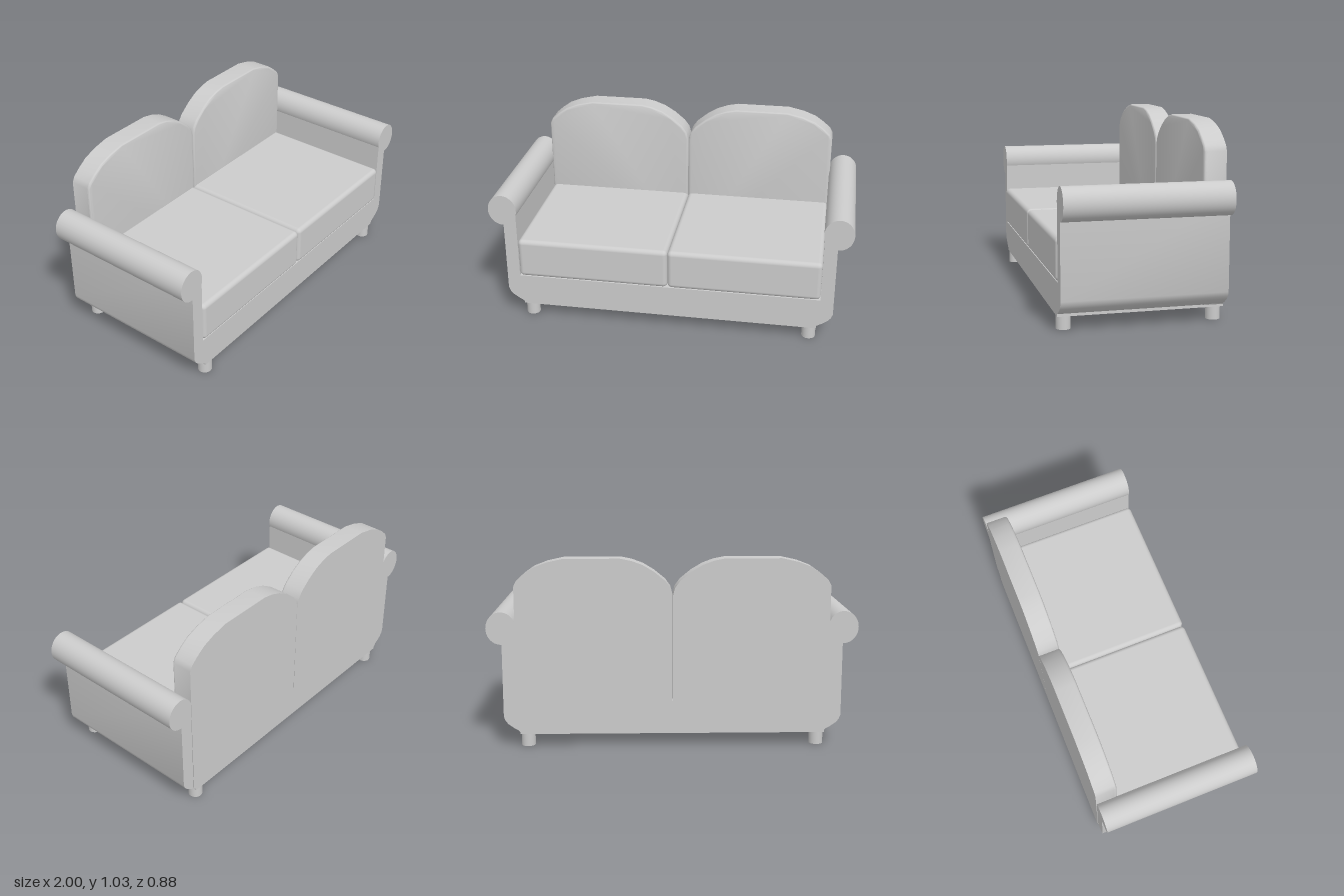
import * as THREE from 'three';
import { toCreasedNormals } from 'three/addons/utils/BufferGeometryUtils.js';
import { RoundedBoxGeometry } from 'three/addons/geometries/RoundedBoxGeometry.js';

const material = new THREE.MeshStandardMaterial({ color: 0xcccccc });
const BACK = -0.44, FRONT = 0.435;

function add(parent, name, geometry, x = 0, y = 0, z = 0) {
  const mesh = new THREE.Mesh(geometry, material);
  mesh.name = name;
  mesh.position.set(x, y, z);
  parent.add(mesh);
  return mesh;
}

const shapeOf = (points, side) =>
  new THREE.Shape(points.map(([x, y]) => new THREE.Vector2(x * side, y)));

const extrude = (shape, options) =>
  toCreasedNormals(new THREE.ExtrudeGeometry(shape, options), 0.7);

// Arm panel cross-section, curving in at the foot
const armProfile = [
  [0.8, 0.085], [0.83, 0.085], [0.86, 0.102], [0.89, 0.123], [0.908, 0.143],
  [0.917, 0.168], [0.917, 0.65], [0.845, 0.65], [0.845, 0.25], [0.8, 0.25],
];

// Arched back cushion outline
const backProfile = [
  [0.012, 0.07], [0.82, 0.07], [0.845, 0.1], [0.845, 0.88], [0.83, 0.91],
  [0.79, 0.945], [0.74, 0.98], [0.67, 1.007], [0.58, 1.027], [0.28, 1.027],
  [0.22, 1.015], [0.16, 0.993], [0.1, 0.957], [0.04, 0.908], [0.012, 0.87],
  [0.001, 0.83], [0.001, 0.085],
];

export function createModel() {
  const sofa = new THREE.Group();
  sofa.name = 'sofa';

  // Base under the seat
  add(sofa, 'base', new THREE.BoxGeometry(1.66, 0.18, FRONT - BACK), 0, 0.16, (FRONT + BACK) / 2);

  for (const side of [1, -1]) {
    const label = side > 0 ? 'left' : 'right';

    // Arm: upright panel with a rolled top
    const arm = new THREE.Group();
    arm.name = label + 'Arm';
    sofa.add(arm);
    const length = FRONT + 0.437;
    add(arm, label + 'ArmPanel',
      extrude(shapeOf(armProfile, side), { depth: length, bevelEnabled: false }), 0, 0, -0.437);
    const roll = new THREE.CylinderGeometry(0.08, 0.08, length, 40).rotateX(Math.PI / 2);
    add(arm, label + 'ArmRoll', roll.scale(1, 1.1, 1), side * 0.92, 0.654, (FRONT - 0.437) / 2);

    // Seat cushion
    add(sofa, label + 'SeatCushion',
      new RoundedBoxGeometry(0.844, 0.225, 0.8, 5, 0.025), side * 0.4225, 0.3625, 0.043);

    // Back cushion: flat rear body with a softened front edge
    const back = new THREE.Group();
    back.name = label + 'BackCushion';
    sofa.add(back);
    const shape = shapeOf(backProfile, side);
    add(back, label + 'BackBody',
      extrude(shape, { depth: 0.107, bevelEnabled: false }), 0, 0, BACK);
    add(back, label + 'BackFront', extrude(shape, {
      depth: 0.002, bevelEnabled: true, bevelThickness: 0.013, bevelSize: 0.013,
      bevelOffset: -0.013, bevelSegments: 4,
    }), 0, 0, -0.335);

    // Feet
    for (const z of [0.397, -0.397]) {
      add(sofa, label + (z > 0 ? 'FrontFoot' : 'BackFoot'),
        new THREE.CylinderGeometry(0.038, 0.038, 0.08, 24), side * 0.79, 0.04, z);
    }
  }
  return sofa;
}
